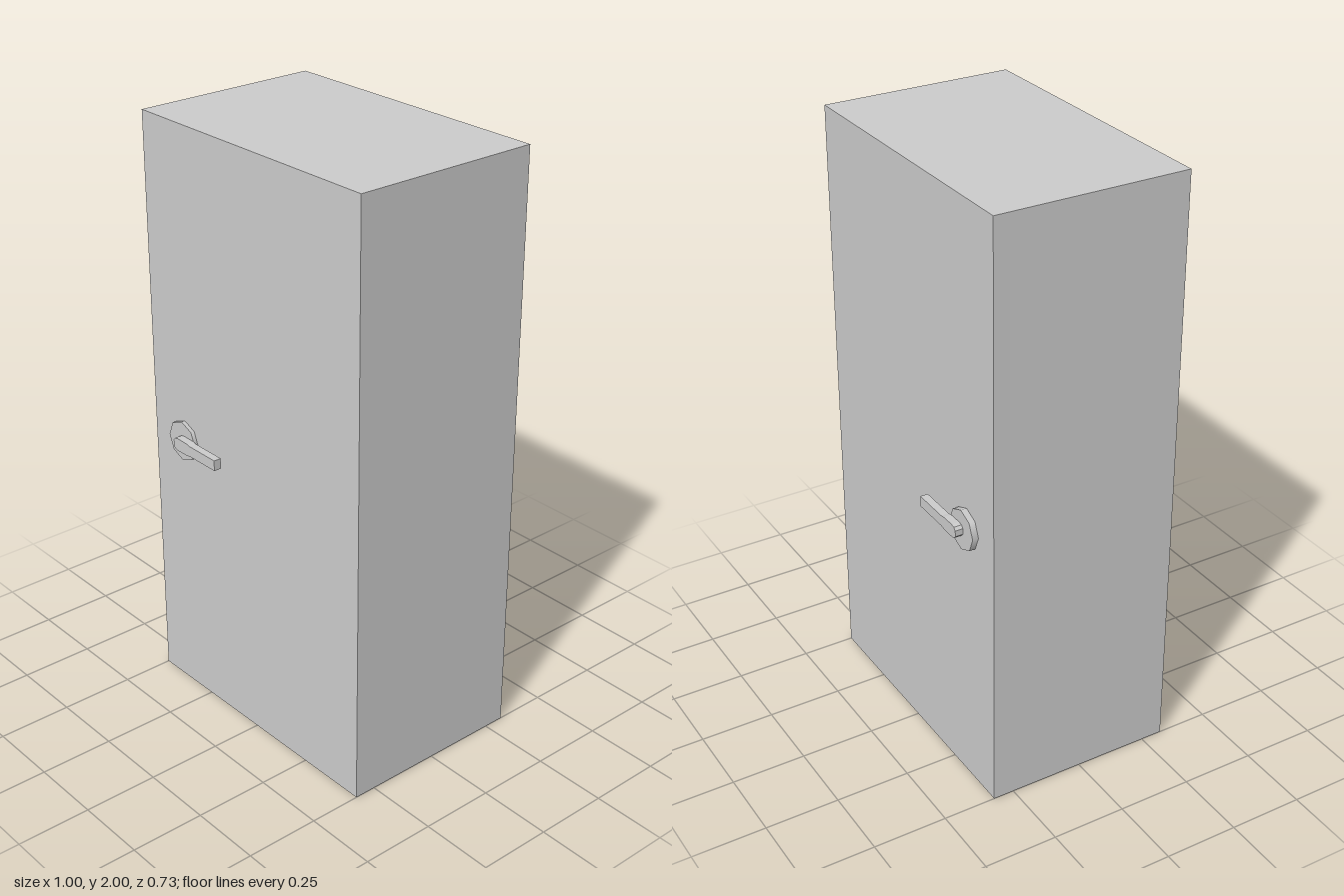
import * as THREE from 'three';

const material = new THREE.MeshStandardMaterial({ color: 0xcccccc });
const PIVOT_X = -0.343, PIVOT_Y = 0.937;
const FRONT = 0.324, BACK = -0.321;

function addMesh(parent, name, geometry, x, y, z) {
  const mesh = new THREE.Mesh(geometry, material);
  mesh.name = name;
  mesh.position.set(x, y, z);
  parent.add(mesh);
  return mesh;
}

// Lever outline around the pivot: chamfered hub narrowing to a straight grip
function leverShape() {
  const upper = [[-0.011, 0.01], [-0.003, 0.019], [0.012, 0.022], [0.06, 0.021], [0.075, 0.018], [0.203, 0.018]];
  const lower = upper.map(([x, y]) => [x, -y]).reverse();
  return new THREE.Shape([...upper, ...lower].map(([x, y]) => new THREE.Vector2(x, y)));
}

// Handle on one face: octagonal rose with the lever standing on it
function addHandle(parent, name, faceZ, side, roseDepth) {
  const handle = new THREE.Group();
  handle.name = name;
  handle.position.set(PIVOT_X, PIVOT_Y, faceZ);
  parent.add(handle);

  const rose = new THREE.CylinderGeometry(0.069, 0.069, roseDepth, 8).rotateX(Math.PI / 2);
  addMesh(handle, 'rose', rose, 0, 0, side * roseDepth / 2);

  const depth = 0.026;
  const lever = new THREE.ExtrudeGeometry(leverShape(), { depth, bevelEnabled: false });
  addMesh(handle, 'lever', lever, 0, 0, side > 0 ? roseDepth : -roseDepth - depth);
}

export function createModel() {
  const model = new THREE.Group();
  model.name = 'doorBlock';

  // Solid body
  addMesh(model, 'body', new THREE.BoxGeometry(1, 2, FRONT - BACK), 0, 1, (FRONT + BACK) / 2);

  addHandle(model, 'frontHandle', FRONT, 1, 0.013);
  addHandle(model, 'backHandle', BACK, -1, 0.02);
  return model;
}
